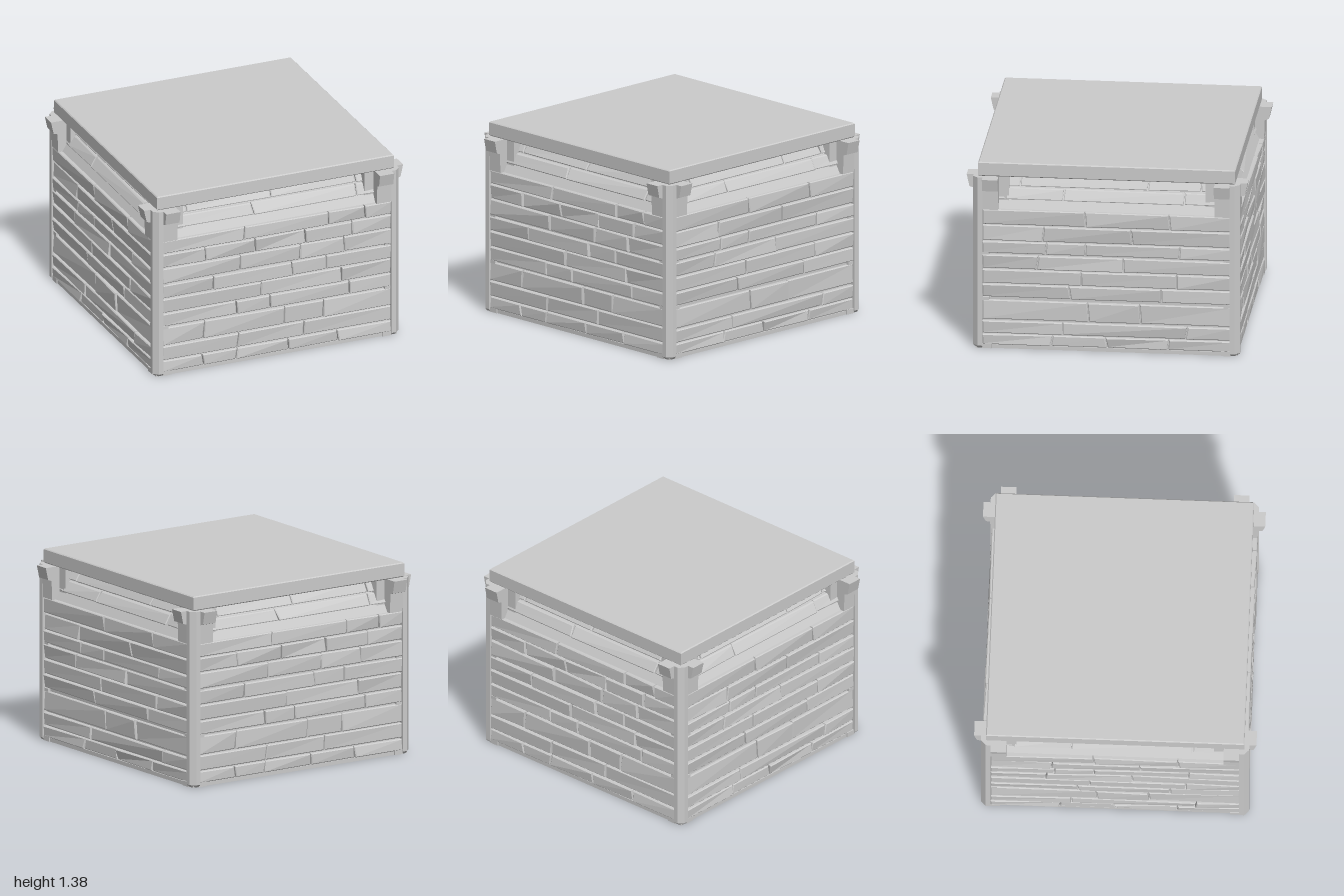
import * as THREE from 'three';

const mat = new THREE.MeshStandardMaterial({ color: 0xcccccc, flatShading: true });

let seed = 7;
const rand = () => (seed = (seed * 16807) % 2147483647) / 2147483647;

function add(parent, name, geometry) {
  const mesh = new THREE.Mesh(geometry, mat);
  mesh.name = name;
  parent.add(mesh);
  return mesh;
}

function box(parent, name, x0, x1, y0, y1, z0, z1) {
  const mesh = add(parent, name, new THREE.BoxGeometry(x1 - x0, y1 - y0, z1 - z0));
  mesh.position.set((x0 + x1) / 2, (y0 + y1) / 2, (z0 + z1) / 2);
  return mesh;
}

// Each course of stones: [bottom, top, joints along the wall]
const wallA = [
  [0.03, 0.11, [-0.57, -0.31, 0.09, 0.47]],
  [0.12, 0.225, [-0.3, 0.21]],
  [0.235, 0.365, [-0.56, 0.06, 0.36]],
  [0.38, 0.475, [-0.31, -0.05, 0.56]],
  [0.485, 0.59, [-0.12, 0.5]],
  [0.6, 0.7, [-0.49, 0.12, 0.385]],
  [0.715, 0.825, [-0.28, 0.18, 0.52]],
  [0.835, 0.935, [-0.55, -0.165, 0.22, 0.58]],
  [0.945, 1.04, [-0.25, 0.4, 0.68]],
  [1.105, 1.18, [-0.16, 0.64]],
  [1.19, 1.28, [-0.65, 0, 0.65]],
];
const wallB = [
  [0.03, 0.105, [-0.39, 0, 0.44]],
  [0.115, 0.205, [-0.31, 0.57]],
  [0.22, 0.36, [-0.13, 0.24]],
  [0.385, 0.48, [-0.26, 0.39]],
  [0.49, 0.59, [-0.18, 0.5]],
  [0.6, 0.7, [-0.49, 0.12]],
  [0.715, 0.8, [-0.43, -0.15, 0.52]],
  [0.81, 0.92, [-0.45, 0.18]],
  [0.93, 1.04, [-0.15, 0.45]],
  [1.105, 1.18, [-0.72, -0.31, 0.55]],
  [1.19, 1.28, [-0.62, 0.29, 0.66]],
];

// Depth of the wall backing: upright to 1.04, then leaning inwards
const backing = (y) => 0.912 - Math.max(0, y - 1.04) * 0.6;

// Block with a bevelled, slightly uneven face and slanted ends
function stone(x0, x1, y0, y1, slant0, slant1) {
  const geometry = new THREE.BoxGeometry(1, 1, 1, 1, 1, 2);
  const p = geometry.attributes.position;
  const upper = y0 > 1.04;
  const bulge = [0, 1, 2, 3].map(() => (upper ? 0.014 : 0.018) + rand() * 0.016);
  for (let i = 0; i < p.count; i++) {
    const right = p.getX(i) > 0, top = p.getY(i) > 0, z = p.getZ(i);
    const inset = z > 0.1 ? 0.006 : 0;
    const slant = (right ? slant1 : slant0) * (top ? 1 : -1);
    const y = top ? y1 - inset : y0 + inset;
    const out = bulge[(right ? 1 : 0) + (top ? 2 : 0)];
    const depth = z > 0.1 ? out : z > -0.1 ? out - 0.006 : -0.04;
    p.setXYZ(i, (right ? x1 - inset : x0 + inset) + slant, y, backing(y) + depth);
  }
  geometry.computeVertexNormals();
  return geometry;
}

function buildWall(courses) {
  const wall = new THREE.Group();
  wall.name = 'stoneWall';
  for (const [y0, y1, joints] of courses) {
    const end = y0 > 1.04 ? 0.83 : 0.885;
    const xs = [-end, ...joints, end];
    const slants = xs.map((x) => (Math.abs(x) === end ? 0 : (rand() - 0.5) * 0.014));
    for (let i = 0; i + 1 < xs.length; i++) {
      add(wall, 'stone', stone(xs[i] + 0.004, xs[i + 1] - 0.004, y0, y1, slants[i], slants[i + 1]));
    }
  }
  for (const s of [-1, 1]) {
    // Flared bracket beside the corner post
    const profile = [[0.7, 1.04], [0.945, 1.04], [0.95, 1.18], [0.98, 1.19], [1, 1.28], [0.7, 1.28]];
    const shape = new THREE.Shape(profile.map(([z, y]) => new THREE.Vector2(-z, y)));
    const geometry = new THREE.ExtrudeGeometry(shape, { depth: 0.11, bevelEnabled: false });
    geometry.rotateY(Math.PI / 2);
    add(wall, 'bracket', geometry).position.x = s * 0.825 - 0.055;
    // Foot of the post and small clips between courses
    box(wall, 'postFoot', s * 0.85 - 0.035, s * 0.85 + 0.035, 0, 0.035, 0.88, 0.94);
    for (const y of [0.37, 0.706]) {
      box(wall, 'clip', s * 0.86 - 0.025, s * 0.86 + 0.025, y - 0.012, y + 0.012, 0.88, 0.935);
    }
  }
  return wall;
}

// Post with a chamfered outer corner and tapered foot
function cornerPost() {
  const plan = [[0.82, 0.88], [0.88, 0.88], [0.88, 0.82], [0.9, 0.82], [0.9, 0.88], [0.95, 0.88],
    [0.95, 0.915], [0.915, 0.95], [0.88, 0.95], [0.88, 0.9], [0.82, 0.9]];
  const shape = new THREE.Shape(plan.map(([x, z]) => new THREE.Vector2(x, -z)));
  const geometry = new THREE.ExtrudeGeometry(shape, { depth: 1.28, steps: 64, bevelEnabled: false });
  geometry.rotateX(-Math.PI / 2);
  const p = geometry.attributes.position;
  for (let i = 0; i < p.count; i++) {
    if (p.getY(i) < 0.01) {
      p.setX(i, Math.min(p.getX(i), 0.93));
      p.setZ(i, Math.min(p.getZ(i), 0.93));
    }
  }
  geometry.computeVertexNormals();
  return geometry;
}

// Square block with sloping sides
function taperedBlock(bottomHalf, topHalf, y0, y1) {
  const geometry = new THREE.CylinderGeometry(topHalf * Math.SQRT2, bottomHalf * Math.SQRT2, y1 - y0, 4);
  geometry.rotateY(Math.PI / 4);
  geometry.translate(0, (y0 + y1) / 2, 0);
  return geometry;
}

export function createModel() {
  const model = new THREE.Group();
  model.name = 'stonePedestal';

  // Solid core behind the stones, leaning in near the top
  box(model, 'base', -0.93, 0.93, 0, 0.028, -0.93, 0.93);
  box(model, 'core', -0.912, 0.912, 0.02, 1.04, -0.912, 0.912);
  add(model, 'upperCore', taperedBlock(backing(1.04), backing(1.28), 1.04, 1.28));

  // Opposite walls share a stone pattern
  const walls = [buildWall(wallA), buildWall(wallB)];
  const post = cornerPost();
  for (let i = 0; i < 4; i++) {
    const side = i < 2 ? walls[i] : walls[i - 2].clone();
    side.rotation.y = (i * Math.PI) / 2;
    model.add(side);
    add(model, 'cornerPost', post).rotation.y = (i * Math.PI) / 2;
  }

  // Capping slab with fine bevels
  add(model, 'slabLowerEdge', taperedBlock(0.908, 0.915, 1.28, 1.287));
  add(model, 'slab', taperedBlock(0.915, 0.915, 1.287, 1.378));
  add(model, 'slabUpperEdge', taperedBlock(0.915, 0.908, 1.378, 1.385));
  return model;
}
